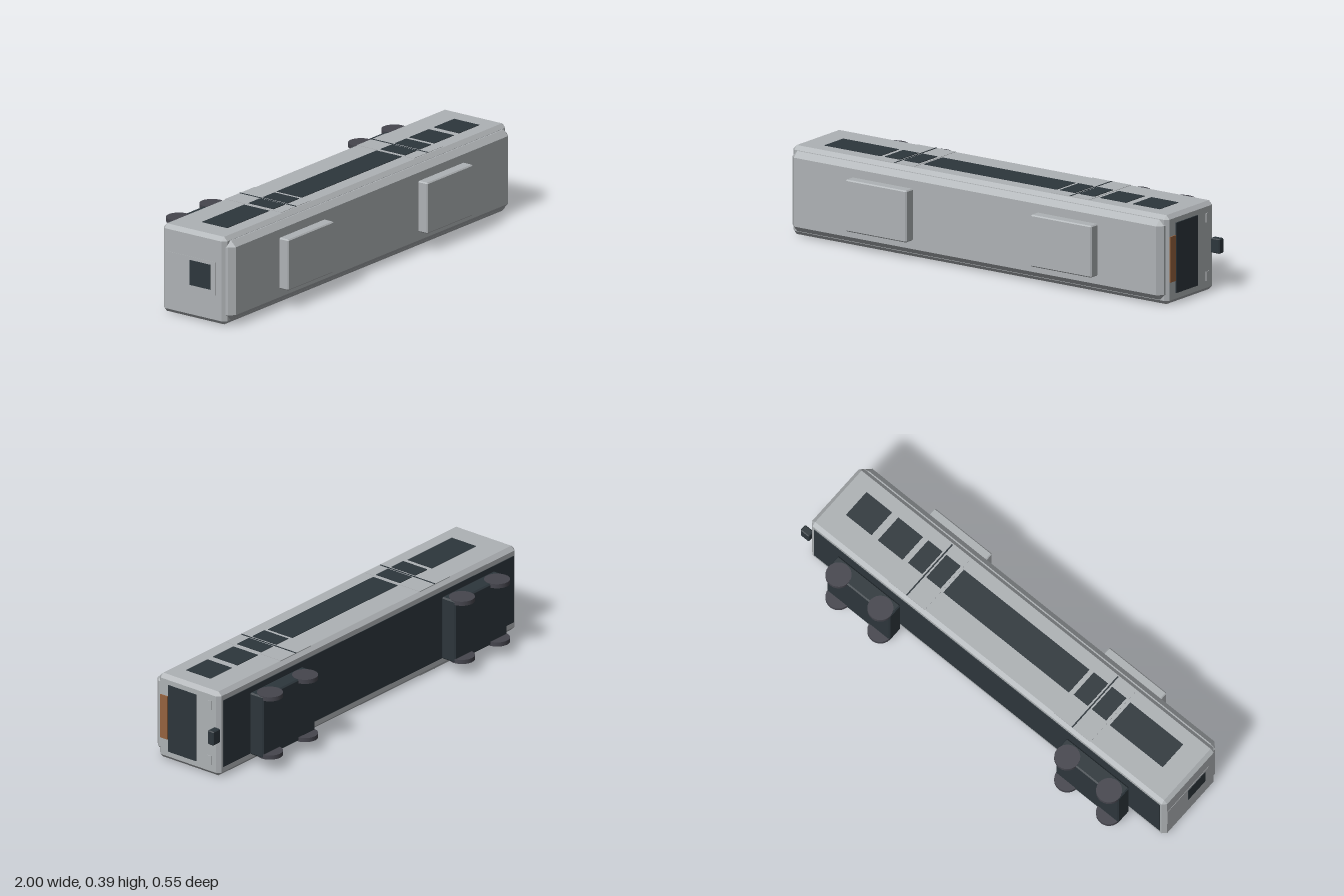
import * as THREE from 'three';
import { ConvexGeometry } from 'three/addons/geometries/ConvexGeometry.js';

const material = (name, color) => {
  const m = new THREE.MeshStandardMaterial({ color });
  m.name = name;
  return m;
};

// Box given by its [min, max] on each axis
function box(x, y, z) {
  const g = new THREE.BoxGeometry(x[1] - x[0], y[1] - y[0], z[1] - z[0]);
  return g.translate((x[0] + x[1]) / 2, (y[0] + y[1]) / 2, (z[0] + z[1]) / 2);
}

// Box with all edges cut at 45 degrees by c
function chamferBox(x, y, z, c) {
  const ranges = [x, y, z];
  const points = [];
  for (let corner = 0; corner < 8; corner++) {
    for (let full = 0; full < 3; full++) {
      const p = ranges.map((r, axis) => {
        const high = (corner >> axis) & 1;
        const inset = axis === full ? 0 : c;
        return high ? r[1] - inset : r[0] + inset;
      });
      points.push(new THREE.Vector3(...p));
    }
  }
  return new ConvexGeometry(points);
}

export function createModel() {
  const car = new THREE.Group();
  car.name = 'railCar';

  const shell = material('shellGrey', 0xaeb2b5);
  const dark = material('darkGlass', 0x2d363c);
  const iron = material('wheelIron', 0x45454d);
  const orange = material('signOrange', 0x96633f);

  const add = (name, geometry, mat) => {
    const mesh = new THREE.Mesh(geometry, mat);
    mesh.name = name;
    car.add(mesh);
    return mesh;
  };

  const midY = 0.197;

  // Body lies on its side: roof toward +z, wheels toward -z
  add('body', chamferBox([-0.997, 0.955], [0.004, 0.39], [-0.135, 0.2], 0.017), shell);
  add('roof', chamferBox([-0.985, 0.943], [0.025, 0.372], [0.14, 0.23], 0.024), shell);
  add('underframe', box([-0.972, 0.928], [0.045, 0.351], [-0.138, -0.13]), dark);

  // Roof equipment
  for (const x of [-0.502, 0.458]) {
    add('roofUnit', chamferBox([x - 0.158, x + 0.158], [0.086, 0.311], [0.22, 0.277], 0.005), shell);
  }

  // Windows and doors on both long sides
  const windows = [[-0.88, -0.59], [-0.365, 0.325], [0.55, 0.685], [0.72, 0.86]];
  const doors = [-0.476, 0.434];
  for (const side of [1, -1]) {
    const plate = (name, x, z, top, mat) => {
      const ys = [midY + side * 0.191, midY + side * top].sort((a, b) => a - b);
      add(name, box(x, ys, z), mat);
    };
    for (const w of windows) plate('sideWindow', w, [-0.01, 0.123], 0.195, dark);
    for (const d of doors) {
      plate('door', [d - 0.1, d + 0.1], [-0.12, 0.177], 0.1945, shell);
      plate('doorSeam', [d - 0.003, d + 0.003], [-0.12, 0.177], 0.196, dark);
      for (const s of [-1, 1]) {
        const c = d + s * 0.05;
        plate('doorWindow', [c - 0.039, c + 0.039], [-0.005, 0.126], 0.197, dark);
      }
    }
  }

  // Cab end
  add('windshield', box([0.952, 0.96], [0.046, 0.351], [-0.013, 0.14]), dark);
  add('destinationSign', box([0.952, 0.96], [0.1, 0.298], [0.144, 0.183]), orange);
  for (const y of [0.072, 0.325]) {
    add('headlight', box([0.952, 0.958], [y - 0.02, y + 0.02], [-0.094, -0.073]), shell);
  }
  add('coupler', chamferBox([0.953, 1], [0.167, 0.231], [-0.141, -0.109], 0.004), dark);

  // Rear end
  add('endDoor', box([-0.9985, -0.992], [0.13, 0.275], [-0.118, 0.15]), shell);
  add('endWindow', box([-1, -0.993], [0.15, 0.26], [0.015, 0.125]), dark);

  // Bogies with two wheel pairs each
  for (const x of [-0.649, 0.608]) {
    add('bogie', chamferBox([x - 0.172, x + 0.172], [0.057, 0.341], [-0.229, -0.155], 0.006), dark);
    for (const dx of [-0.115, 0.115]) {
      for (const y of [0.065, 0.333]) {
        const wheel = add('wheel', new THREE.CylinderGeometry(0.055, 0.055, 0.019, 24), iron);
        wheel.position.set(x + dx, y, -0.22);
      }
    }
  }

  return car;
}
